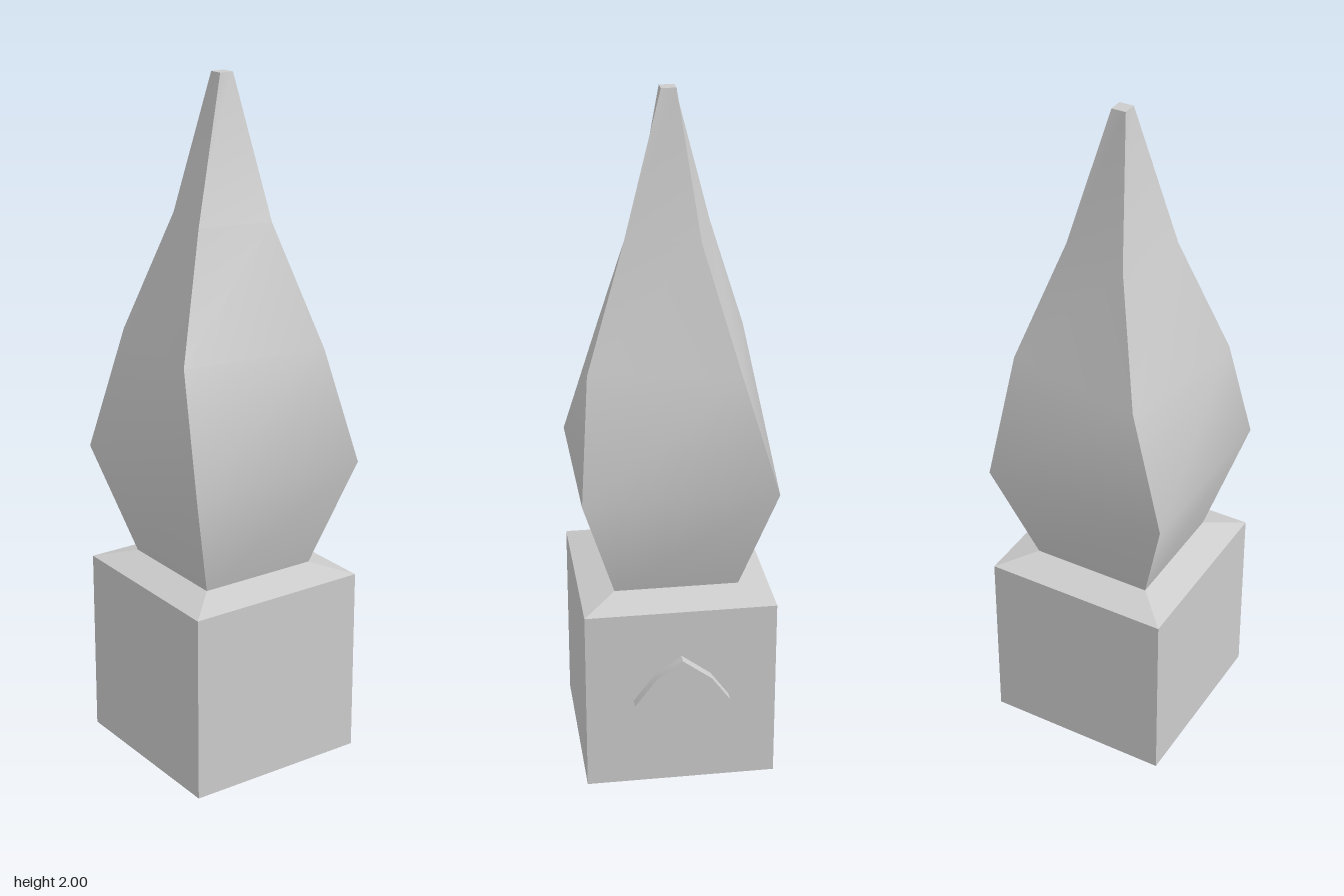
import * as THREE from 'three';
import { mergeGeometries, toCreasedNormals } from 'three/addons/utils/BufferGeometryUtils.js';

const material = new THREE.MeshStandardMaterial({ color: 0xcccccc });

// Four-sided loft through square rings [y, half width, twist in degrees].
// Each side is its own strip: smooth along its height, sharp at the corners.
function squareLoft(rings) {
  const corner = ([y, half, twist], k) => {
    const a = THREE.MathUtils.degToRad(45 + 90 * k + twist);
    const r = half * Math.SQRT2;
    return [r * Math.cos(a), y, r * Math.sin(a)];
  };
  const build = (points, index) => {
    const g = new THREE.BufferGeometry();
    g.setAttribute('position', new THREE.Float32BufferAttribute(points.flat(), 3));
    g.setIndex(index);
    g.computeVertexNormals();
    return g;
  };
  const parts = [];
  for (let k = 0; k < 4; k++) {
    const points = [], index = [];
    rings.forEach((ring, i) => {
      points.push(corner(ring, k), corner(ring, k + 1));
      if (i === 0) return;
      const a = 2 * i - 2, b = a + 1, c = a + 2, d = a + 3;
      index.push(b, a, c, b, c, d);
    });
    parts.push(build(points, index));
  }
  // top cap
  const top = rings[rings.length - 1];
  parts.push(build([0, 1, 2, 3].map(k => corner(top, k)), [0, 2, 1, 0, 3, 2]));
  return mergeGeometries(parts);
}

export function createModel() {
  const model = new THREE.Group();
  model.name = 'flameLamp';
  const add = (name, geometry, x, y, z) => {
    const mesh = new THREE.Mesh(geometry, material);
    mesh.name = name;
    mesh.position.set(x, y, z);
    model.add(mesh);
  };
  const cx = -0.016, half = 0.277, baseTop = 0.555;

  // cube base with a shallow sloping ledge
  add('base', new THREE.BoxGeometry(2 * half, baseTop, 2 * half), cx, baseTop / 2, 0);
  add('ledge', squareLoft([[baseTop, half, 0], [0.585, 0.18, 0]]), cx, 0, 0);

  // twisted flame
  add('flame', squareLoft([
    [0.585, 0.18, 0],
    [0.905, half, 0],
    [1.25, 0.213, 10],
    [1.6, 0.106, 15],
    [2, 0.021, 0],
  ]), cx, 0, 0);

  // bulging diamond knob on the left side
  const outline = [];
  for (let k = 0; k < 4; k++) {
    for (const [u, v] of [[0.139, 0], [0.085, 0.075]]) {
      const p = new THREE.Vector2(k % 2 ? v : u, k % 2 ? u : v);
      const sx = k === 1 || k === 2 ? -1 : 1, sy = k > 1 ? -1 : 1;
      outline.push(p.set(p.x * sx, p.y * sy));
    }
  }
  const knob = new THREE.ExtrudeGeometry(new THREE.Shape(outline), { depth: 0.043, bevelEnabled: false });
  knob.rotateY(Math.PI / 2);
  add('knob', toCreasedNormals(knob, 0.6), 0.25, 0.274, 0);

  return model;
}
